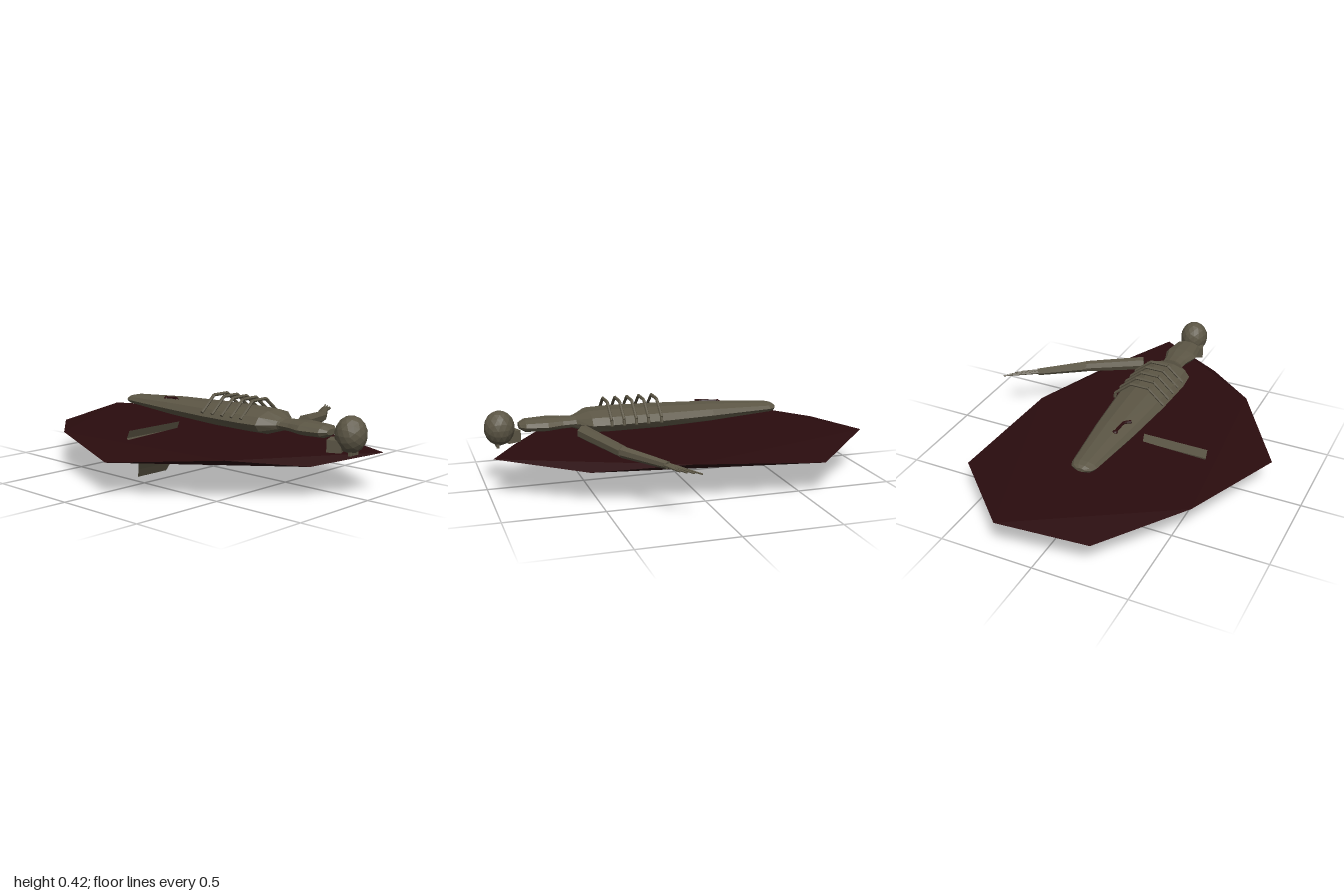
import * as THREE from 'three';

const V = (x, y, z) => new THREE.Vector3(x, y, z);

// Flat-shaded geometry from points and triangle indices
function faceted(points, index) {
  const g = new THREE.BufferGeometry().setFromPoints(points);
  g.setIndex(index);
  const flat = g.toNonIndexed();
  flat.computeVertexNormals();
  return flat;
}

// Closed loft of ellipses running toward -z; rows are [z, halfWidth, halfHeight, y]
function loft(rows, cx, sides = 10) {
  const pts = [], idx = [];
  for (const [z, w, h, y] of rows)
    for (let j = 0; j < sides; j++) {
      const a = (j / sides) * Math.PI * 2;
      pts.push(V(cx + w * Math.cos(a), y + h * Math.sin(a), z));
    }
  const last = (rows.length - 1) * sides;
  const c0 = pts.push(V(cx, rows[0][3], rows[0][0])) - 1;
  const end = rows[rows.length - 1];
  const c1 = pts.push(V(cx, end[3], end[0])) - 1;
  for (let j = 0; j < sides; j++) {
    const k = (j + 1) % sides;
    for (let i = 0; i < last; i += sides)
      idx.push(i + j, i + sides + j, i + k, i + k, i + sides + j, i + sides + k);
    idx.push(c0, j, k, c1, last + k, last + j);
  }
  return faceted(pts, idx);
}

export function createModel() {
  const model = new THREE.Group();
  const flesh = new THREE.MeshStandardMaterial({ color: 0x5c5645 });
  const dark = new THREE.MeshStandardMaterial({ color: 0x2a0c0e });
  const cloth = new THREE.MeshStandardMaterial({ color: 0x5c5645, side: THREE.DoubleSide });
  flesh.name = 'dull bone';
  dark.name = 'dark red';
  cloth.name = 'dull bone sheet';
  for (const m of [flesh, dark, cloth]) m.flatShading = true;

  const add = (name, geo, mat = flesh, parent = model) => {
    const mesh = new THREE.Mesh(geo, mat);
    mesh.name = name;
    parent.add(mesh);
    return mesh;
  };

  // Tapered limb segment between two points
  const limb = (name, a, b, r0, r1, sides, parent) => {
    const m = add(name, new THREE.CylinderGeometry(r1, r0, a.distanceTo(b), sides), flesh, parent);
    m.position.copy(a).lerp(b, 0.5);
    m.quaternion.setFromUnitVectors(V(0, 1, 0), b.clone().sub(a).normalize());
    return m;
  };

  // Pool: a squashed irregular icosahedron, rim alternating high and low
  const rim = [[0.19, -1], [0.59, -0.6], [0.53, 0.07], [0.4, 0.55], [0.15, 0.98],
    [-0.21, 0.82], [-0.5, 0.55], [-0.81, 0.07], [-0.6, -0.51], [-0.27, -0.92]];
  const poolPts = rim.map(([x, z], i) => V(x, i % 2 ? 0.168 : 0.203, z));
  poolPts.push(V(-0.04, 0.222, 0), V(-0.04, 0.148, 0));
  const poolIdx = [];
  for (let i = 0; i < 10; i += 2) {
    const low = i + 1, up = (i + 2) % 10, low2 = (i + 3) % 10;
    poolIdx.push(10, up, i, 11, low, low2, i, up, low, low, up, low2);
  }
  add('pool', faceted(poolPts, poolIdx), dark);

  // Torso and neck
  add('torso', loft([
    [0.56, 0.055, 0.026, 0.31], [0.53, 0.065, 0.035, 0.31], [0.46, 0.14, 0.06, 0.312],
    [0.35, 0.15, 0.062, 0.312], [0.1, 0.138, 0.06, 0.31], [-0.2, 0.11, 0.05, 0.31],
    [-0.54, 0.068, 0.027, 0.31], [-0.57, 0.055, 0.02, 0.31], [-0.585, 0.025, 0.01, 0.31],
  ], -0.05));
  add('neck', loft([
    [0.82, 0.04, 0.015, 0.31], [0.79, 0.072, 0.032, 0.31], [0.68, 0.09, 0.036, 0.31],
    [0.6, 0.065, 0.031, 0.31], [0.52, 0.06, 0.028, 0.31],
  ], -0.05));

  // Head and displaced jaw
  const head = add('head', new THREE.IcosahedronGeometry(1, 2));
  head.scale.set(0.078, 0.09, 0.078);
  head.position.set(-0.035, 0.31, 0.92);
  const jaw = add('jaw', new THREE.BoxGeometry(0.085, 0.06, 0.07));
  jaw.position.set(-0.07, 0.256, 0.86);
  jaw.rotation.y = 0.4;
  for (const x of [-0.06, -0.035, -0.01]) {
    const tooth = add('tooth', new THREE.BoxGeometry(0.014, 0.02, 0.014));
    tooth.position.set(x, 0.222, 0.935);
  }

  // Ribs arched over the chest
  const arch = [[-0.19, 0.33], [-0.1, 0.41], [0, 0.41], [0.09, 0.335], [0.095, 0.305]];
  for (const z of [0.365, 0.3, 0.235, 0.17, 0.1]) {
    const rib = new THREE.Group();
    rib.name = 'rib';
    model.add(rib);
    for (let i = 0; i < arch.length - 1; i++)
      limb('ribSegment', V(...arch[i], z), V(...arch[i + 1], z), 0.0085, 0.0085, 6, rib);
  }

  // Left arm lying outstretched, with thin fingers
  const arm = new THREE.Group();
  arm.name = 'leftArm';
  model.add(arm);
  const shoulder = V(0.115, 0.295, 0.522), elbow = V(0.42, 0.265, 0.395), wrist = V(0.65, 0.252, 0.24);
  limb('upperArm', shoulder, elbow, 0.036, 0.03, 7, arm);
  limb('forearm', elbow, wrist, 0.03, 0.02, 7, arm);
  [[0.81, 0.125], [0.79, 0.155], [0.77, 0.185], [0.745, 0.21]].forEach(([x, z], i) =>
    limb('finger', V(0.643 + i * 0.003, 0.253, 0.232 + i * 0.008), V(x, 0.246, z), 0.008, 0.004, 5, arm));

  // Bent sheet passing down through the pool; rows are [y, z, xMin, xMax]
  const rows = [[0.255, -0.09, -0.515, -0.165], [0.215, -0.108, -0.515, -0.165],
    [0.15, -0.095, -0.503, -0.18], [0.125, -0.07, -0.5, -0.183], [0.085, -0.07, -0.475, -0.21],
    [0.045, -0.092, -0.455, -0.228], [0, -0.115, -0.44, -0.24]];
  const sheetPts = [], sheetIdx = [];
  rows.forEach(([y, z, x0, x1], i) => {
    sheetPts.push(V(x0, y, z), V(x1, y, z));
    const a = i * 2;
    if (i < rows.length - 1) sheetIdx.push(a, a + 2, a + 1, a + 1, a + 2, a + 3);
  });
  add('bentSheet', faceted(sheetPts, sheetIdx), cloth);

  // Dark wound trailing along the torso
  const trail = new THREE.CatmullRomCurve3([V(-0.085, 0.35, -0.275), V(-0.087, 0.353, -0.235),
    V(-0.094, 0.357, -0.185), V(-0.12, 0.354, -0.155)]);
  add('wound', new THREE.TubeGeometry(trail, 10, 0.009, 6), dark);
  const drop = add('woundDrop', new THREE.IcosahedronGeometry(0.014, 1), dark);
  drop.position.set(-0.085, 0.347, -0.27);

  return model;
}
